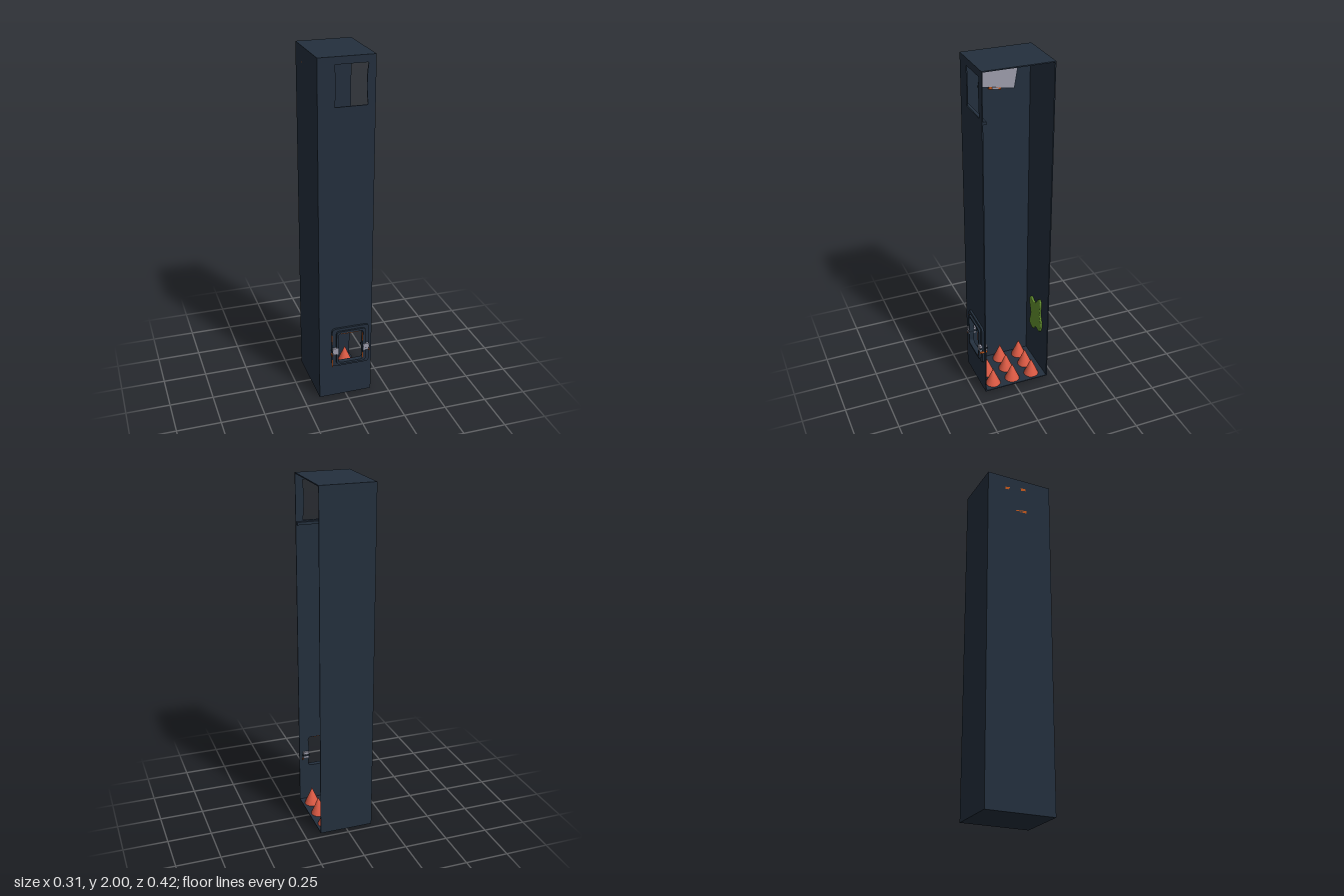
import * as THREE from 'three';

const mat = (name, color, side = THREE.FrontSide) => {
  const m = new THREE.MeshStandardMaterial({ color, side });
  m.name = name;
  return m;
};

// Closed outline with rounded corners; waist pinches the sides inward
function roundedRect(C, cx, cy, w, h, r, waist = 0) {
  const p = new C(), x0 = cx - w / 2, x1 = cx + w / 2, y0 = cy - h / 2, y1 = cy + h / 2;
  p.moveTo(x0 + r, y0);
  p.lineTo(x1 - r, y0);
  p.quadraticCurveTo(x1, y0, x1, y0 + r);
  p.quadraticCurveTo(x1 - waist, cy, x1, y1 - r);
  p.quadraticCurveTo(x1, y1, x1 - r, y1);
  p.lineTo(x0 + r, y1);
  p.quadraticCurveTo(x0, y1, x0, y1 - r);
  p.quadraticCurveTo(x0 + waist, cy, x0, y0 + r);
  p.quadraticCurveTo(x0, y0, x0 + r, y0);
  return p;
}

export function createModel() {
  const root = new THREE.Group();
  const navy = mat('navy wall', 0x232f3d);
  const dark = mat('dark trim', 0x1b242f);
  const red = mat('red spike', 0xdc5a44);
  const green = mat('green slime', 0x64922f);
  const grey = mat('grey metal', 0x9c9cab);
  const orange = mat('orange rust', 0xc4581c);

  const add = (parent, name, geo, m, x = 0, y = 0, z = 0) => {
    const mesh = new THREE.Mesh(geo, m);
    mesh.name = name;
    mesh.position.set(x, y, z);
    parent.add(mesh);
    return mesh;
  };
  const box = (parent, name, m, w, h, d, x, y, z) =>
    add(parent, name, new THREE.BoxGeometry(w, h, d), m, x, y, z);

  // Shaft, open on the left side
  const W = 0.312, zB = -0.212, zF = 0.187, t = 0.006, D = zF - zB, zc = (zF + zB) / 2;
  box(root, 'floor', navy, W, t, D, 0, t / 2, zc);
  box(root, 'ceiling', navy, W, t, D, 0, 2 - t / 2, zc);
  box(root, 'backWall', navy, W, 2 - 2 * t, t, 0, 1, zB + t / 2);
  box(root, 'sideWall', navy, t, 2 - 2 * t, D - 2 * t, -W / 2 + t / 2, 1, zc);

  // Front wall with an upper window and a lower hatch opening
  const front = new THREE.Shape([
    new THREE.Vector2(-W / 2, t), new THREE.Vector2(W / 2, t),
    new THREE.Vector2(W / 2, 2 - t), new THREE.Vector2(-W / 2, 2 - t)]);
  front.holes.push(roundedRect(THREE.Path, 0.025, 1.85, 0.18, 0.22, 0.006, 0.014));
  front.holes.push(roundedRect(THREE.Path, 0.025, 0.325, 0.15, 0.19, 0.02, 0.008));
  add(root, 'frontWall', new THREE.ExtrudeGeometry(front, { depth: t, bevelEnabled: false }), navy, 0, 0, zF - t);
  box(root, 'windowLedge', navy, W - 2 * t, 0.016, 0.02, t / 2, 1.726, zF - t - 0.01);

  // Hatch frame: wide base plate and a narrower raised rim
  const hatch = new THREE.Group();
  hatch.name = 'hatch';
  root.add(hatch);
  const ring = (name, m, w, h, r, depth, z) => {
    const s = roundedRect(THREE.Shape, 0.0275, 0.325, w, h, r);
    s.holes.push(roundedRect(THREE.Path, 0.025, 0.325, 0.15, 0.19, 0.02, 0.008));
    add(hatch, name, new THREE.ExtrudeGeometry(s, { depth, bevelEnabled: false }), m, 0, 0, z);
  };
  ring('hatchBase', navy, 0.222, 0.246, 0.025, 0.012, zF);
  ring('hatchRim', navy, 0.175, 0.215, 0.02, 0.011, zF + 0.012);

  // Metal clips with rusty ends on both sides of the hatch
  for (const [x, s] of [[-0.066, -1], [0.117, 1]]) {
    box(hatch, 'clip', grey, 0.032, 0.04, 0.044, x, 0.308, zF + 0.003);
    box(hatch, 'clipPin', dark, 0.04, 0.01, 0.048, x, 0.308, zF + 0.001);
    box(hatch, 'clipEnd', orange, 0.004, 0.012, 0.044, x + s * 0.02, 0.284, zF + 0.003);
  }
  // Thin rust streaks
  for (const [x, y, h] of [[-0.083, 0.225, 0.05], [-0.083, 0.38, 0.06], [0.096, 0.255, 0.035], [0.096, 0.375, 0.05]])
    box(hatch, 'rustStreak', orange, 0.004, h, 0.006, x, y, x < 0 ? zF + 0.011 : zF + 0.02);
  box(hatch, 'rustLip', orange, 0.1, 0.005, 0.02, 0.02, 0.417, zF + 0.01);

  // Floor spikes in a three by three grid
  const cone = new THREE.ConeGeometry(0.044, 0.105, 20);
  for (const x of [-0.1, 0, 0.1])
    for (const z of [0.118, -0.005, -0.13])
      add(root, 'spike', cone, red, x, t + 0.0525, z);

  // Slime splat on the back wall
  const outline = [[-0.088, 0.42], [-0.066, 0.447], [-0.013, 0.435], [0.05, 0.497], [0.072, 0.475], [0.064, 0.4],
    [0.086, 0.33], [0.066, 0.272], [0.012, 0.272], [-0.03, 0.235], [-0.08, 0.257], [-0.062, 0.335]]
    .map(([x, y]) => new THREE.Vector2(x, y));
  const curve = new THREE.CatmullRomCurve3(outline.map(p => new THREE.Vector3(p.x, p.y, 0)), true);
  const splat = new THREE.Shape(curve.getPoints(60).slice(0, 60).map(p => new THREE.Vector2(p.x, p.y)));
  add(root, 'slime', new THREE.ExtrudeGeometry(splat, {
    depth: 0.002, bevelEnabled: true, bevelThickness: 0.006, bevelSize: 0.006, bevelOffset: -0.006, bevelSegments: 4,
  }), green, 0, 0, zB + t + 0.005);

  // Tilted metal panel on the side wall, held by rusty clips
  const panel = new THREE.Group();
  panel.name = 'panel';
  panel.position.set(-W / 2 + t, 1.852, -0.022);
  panel.rotation.x = -0.17;
  root.add(panel);
  box(panel, 'panelBacking', dark, 0.006, 0.145, 0.212, 0.003, 0, 0);
  box(panel, 'panelPlate', grey, 0.008, 0.132, 0.195, 0.008, 0, 0);
  for (const [y, z, w] of [[0.08, 0.05, 0.03], [0.08, -0.052, 0.03], [-0.072, 0.01, 0.07]]) {
    box(panel, 'panelClip', orange, 0.016, 0.016, w, 0.002, y, z);
    box(panel, 'panelClipCap', grey, 0.006, 0.01, w * 0.5, 0.011, y, z);
  }
  return root;
}
